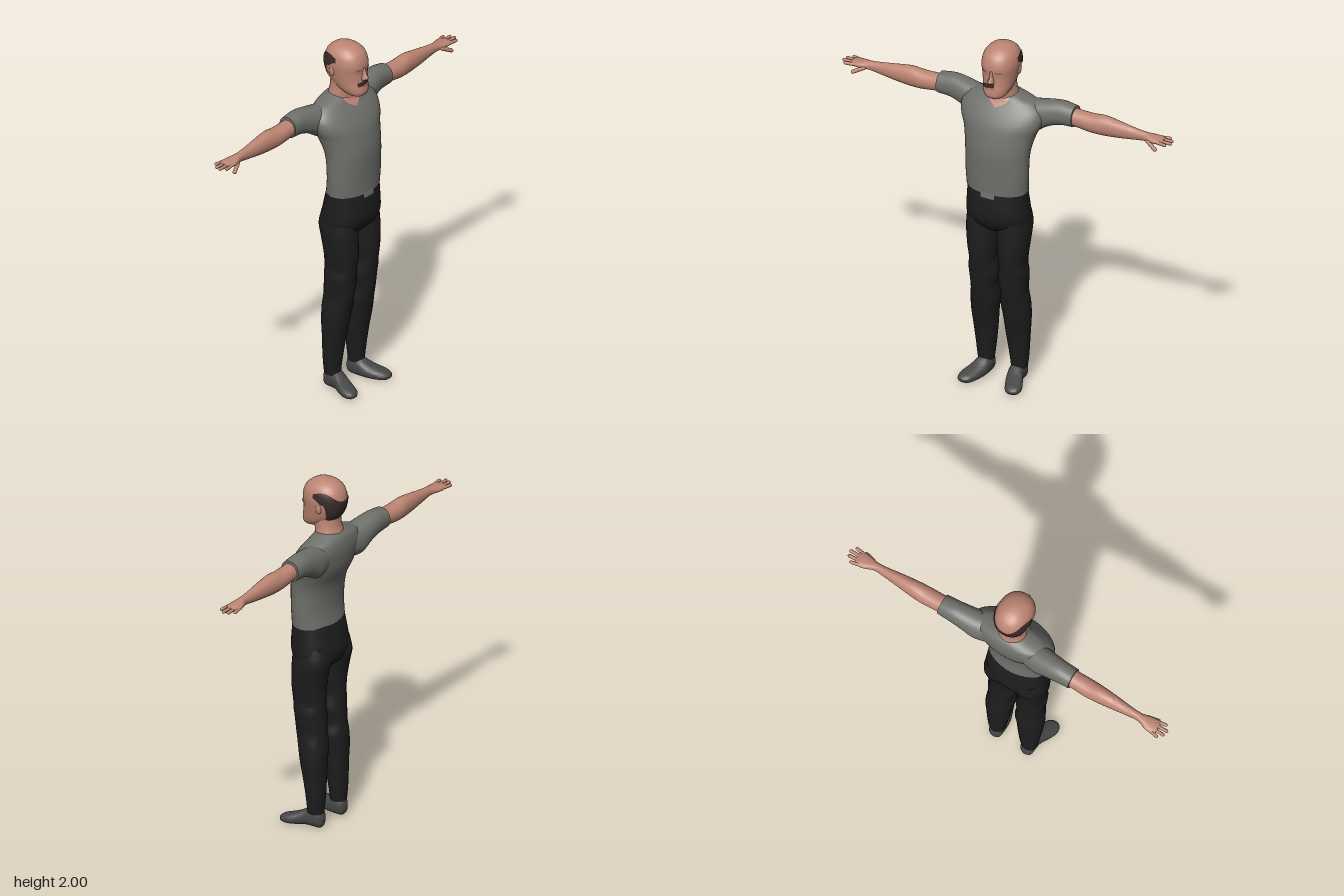
import * as THREE from 'three';
import { toCreasedNormals } from 'three/addons/utils/BufferGeometryUtils.js';

const paint = (name, color) => {
  const m = new THREE.MeshStandardMaterial({ color });
  m.name = name;
  return m;
};

// Smooth interpolation through keys [t, uMin, uMax, vMin, vMax]
function sample(keys, t) {
  const n = keys.length;
  let i = 0;
  while (i < n - 2 && t > keys[i + 1][0]) i++;
  const a = keys[i], b = keys[i + 1], h = b[0] - a[0];
  const s = Math.min(1, Math.max(0, (t - a[0]) / h));
  const slope = (j, k) => {
    const p = keys[Math.max(0, j - 1)], q = keys[Math.min(n - 1, j + 1)];
    return (q[k] - p[k]) / (q[0] - p[0]);
  };
  const s2 = s * s, s3 = s2 * s;
  return [1, 2, 3, 4].map((k) =>
    (2 * s3 - 3 * s2 + 1) * a[k] + (s3 - 2 * s2 + s) * h * slope(i, k) +
    (3 * s2 - 2 * s3) * b[k] + (s3 - s2) * h * slope(i + 1, k));
}

// Body surface around an axis (0 x, 1 y, 2 z): point at height t and angle
function surface(keys, axis, power = 2.2) {
  const bend = (c) => Math.sign(c) * Math.pow(Math.abs(c), 2 / power);
  return (t, angle, lift = 0) => {
    const [u0, u1, v0, v1] = sample(keys, t);
    const p = [0, 0, 0];
    p[axis] = t;
    p[(axis + 1) % 3] = (u0 + u1) / 2 + ((u1 - u0) / 2 + lift) * bend(Math.cos(angle));
    p[(axis + 2) % 3] = (v0 + v1) / 2 + ((v1 - v0) / 2 + lift) * bend(Math.sin(angle));
    return p;
  };
}

// Grid of points f(column, row); a closed grid wraps and gets end caps
function grid(f, cols, rows, closed) {
  const pos = [], index = [], w = closed ? cols : cols + 1;
  for (let r = 0; r <= rows; r++) for (let c = 0; c < w; c++) pos.push(...f(c / cols, r / rows));
  for (let r = 0; r < rows; r++) for (let c = 0; c < cols; c++) {
    const d = (c + 1) % w, a = r * w + c, b = r * w + d;
    index.push(a, b, a + w, b, b + w, a + w);
  }
  if (closed) for (const r of [0, rows]) {
    const mid = [0, 1, 2].map((k) => {
      let sum = 0;
      for (let c = 0; c < w; c++) sum += pos[(r * w + c) * 3 + k];
      return sum / w;
    });
    const m = pos.length / 3;
    pos.push(...mid);
    for (let c = 0; c < w; c++) {
      const a = r * w + c, b = r * w + (c + 1) % w;
      index.push(...(r ? [a, b, m] : [b, a, m]));
    }
  }
  const g = new THREE.BufferGeometry();
  g.setAttribute('position', new THREE.Float32BufferAttribute(pos, 3));
  g.setIndex(index);
  g.computeVertexNormals();
  return g;
}

function loft(keys, axis, power, cols = 32) {
  const f = surface(keys, axis, power), t0 = keys[0][0], t1 = keys[keys.length - 1][0];
  // rows packed evenly between keys
  const row = (v) => {
    const x = v * (keys.length - 1), i = Math.min(keys.length - 2, Math.floor(x));
    return v >= 1 ? t1 : v <= 0 ? t0 : keys[i][0] + (x - i) * (keys[i + 1][0] - keys[i][0]);
  };
  return toCreasedNormals(grid((u, v) => f(row(v), u * Math.PI * 2), cols, (keys.length - 1) * 4, true), 1);
}

// Thin painted patch lying on a surface
const patch = (f, a0, a1, lo, hi, cols = 24, rows = 6, lift = 0.003) => grid((u, v) => {
  const a = a0 + (a1 - a0) * u;
  return f(lo(a) + (hi(a) - lo(a)) * v, a, lift);
}, cols, rows, false);

function mirrored(geometry) {
  const g = geometry.index ? geometry.toNonIndexed() : geometry.clone();
  for (const key of ['position', 'normal']) {
    const at = g.attributes[key];
    for (let i = 0; i < at.count; i += 3) {
      const p = [0, 2, 1].map((k) => [-at.getX(i + k), at.getY(i + k), at.getZ(i + k)]);
      p.forEach((q, k) => at.setXYZ(i + k, ...q));
    }
  }
  return g;
}

// Capsule between two points, for the fingers
function digit(from, to, r) {
  const a = new THREE.Vector3(...from), b = new THREE.Vector3(...to), d = b.clone().sub(a);
  const g = new THREE.CapsuleGeometry(r, d.length(), 5, 10);
  g.applyQuaternion(new THREE.Quaternion().setFromUnitVectors(new THREE.Vector3(0, 1, 0), d.normalize()));
  return g.translate(...a.add(b).multiplyScalar(0.5).toArray());
}

export function createModel() {
  const group = new THREE.Group();
  group.name = 'standingMan';
  const skin = paint('skin', 0xbd8573), shade = paint('shadedSkin', 0x94644f);
  const shirt = paint('shirtGrey', 0x6f706b), trousers = paint('trouserBlack', 0x1d1d1d);
  const shoe = paint('shoeGrey', 0x474747), hair = paint('hairBrown', 0x382a28);
  const add = (name, geometry, material) => {
    const m = new THREE.Mesh(geometry, material);
    m.name = name;
    group.add(m);
  };
  const pair = (name, geometry, material) => {
    add(name + 'Left', geometry, material);
    add(name + 'Right', mirrored(geometry), material);
  };

  // Head and neck
  const headKeys = [
    [1.715, 0.03, 0.085, -0.03, 0.03], [1.73, -0.01, 0.104, -0.055, 0.055],
    [1.76, -0.07, 0.107, -0.073, 0.073], [1.8, -0.115, 0.1, -0.084, 0.084],
    [1.85, -0.138, 0.097, -0.093, 0.093], [1.9, -0.143, 0.1, -0.098, 0.098],
    [1.95, -0.128, 0.083, -0.088, 0.088], [1.98, -0.098, 0.05, -0.063, 0.063],
    [1.995, -0.063, 0.015, -0.032, 0.032], [2, -0.035, -0.015, -0.008, 0.008]];
  const head = surface(headKeys, 1);
  add('head', loft(headKeys, 1, 2.2, 40), skin);
  add('neck', loft([[1.62, -0.13, 0.03, -0.1, 0.1], [1.69, -0.125, 0.022, -0.083, 0.083],
    [1.74, -0.112, 0.03, -0.074, 0.074], [1.82, -0.11, 0.04, -0.07, 0.07]], 1, 2), skin);
  add('nose', loft([[1.812, 0.08, 0.108, -0.014, 0.014], [1.825, 0.075, 0.126, -0.018, 0.018],
    [1.85, 0.075, 0.117, -0.011, 0.011], [1.885, 0.075, 0.104, -0.009, 0.009]], 1, 2, 16), skin);
  pair('ear', new THREE.SphereGeometry(1, 16, 12).scale(0.01, 0.03, 0.017).translate(0.091, 1.855, -0.045), skin);
  pair('eye', patch(head, 0.24, 0.55, () => 1.872, () => 1.884, 6, 2), shade);
  add('mouth', patch(head, -0.25, 0.25, () => 1.778, () => 1.783, 8, 1), shade);
  add('moustache', patch(head, -0.52, 0.2, (a) => 1.79 + a * 0.012, (a) => 1.812 + a * 0.012, 12, 2, 0.006), hair);

  // Horseshoe of hair around the back of the head
  const step = THREE.MathUtils.smoothstep;
  const back = (a) => Math.abs(a - Math.PI);
  add('hair', patch(head, Math.PI - 1.62, Math.PI + 1.62,
    (a) => 1.788 + 0.095 * step(back(a), 0.85, 1.15) + 0.03 * step(back(a), 1.2, 1.62),
    (a) => 1.9 + 0.05 * step(back(a), 0.1, 1.1) - 0.012 * step(back(a), 1.3, 1.62), 48, 12, 0.004), hair);

  // Shirt body, neckline and sleeves
  const torsoKeys = [
    [1.165, -0.087, 0.133, -0.173, 0.173], [1.26, -0.077, 0.135, -0.178, 0.178],
    [1.4, -0.093, 0.137, -0.183, 0.183], [1.5, -0.135, 0.12, -0.205, 0.205],
    [1.56, -0.147, 0.1, -0.232, 0.232], [1.62, -0.152, 0.064, -0.235, 0.235],
    [1.67, -0.145, 0.026, -0.19, 0.19], [1.695, -0.132, 0.012, -0.12, 0.12],
    [1.71, -0.115, -0.005, -0.08, 0.08]];
  const torso = surface(torsoKeys, 1, 2.1);
  add('shirtBody', loft(torsoKeys, 1, 2.1, 48), shirt);
  add('neckline', patch(torso, -0.5, 0.5, (a) => 1.645 + 0.11 * Math.abs(a), () => 1.708, 16, 8, 0.004), skin);
  pair('sleeve', loft([[0.08, 1.52, 1.67, -0.13, 0], [0.18, 1.5, 1.68, -0.15, -0.005],
    [0.25, 1.54, 1.69, -0.152, -0.02], [0.32, 1.563, 1.697, -0.151, -0.033],
    [0.4, 1.57, 1.686, -0.147, -0.036]], 0), shirt);

  // Arms, hands and digits
  pair('arm', loft([[0.36, 1.577, 1.675, -0.138, -0.042], [0.42, 1.575, 1.67, -0.137, -0.043],
    [0.5, 1.565, 1.668, -0.139, -0.042], [0.57, 1.563, 1.675, -0.135, -0.047],
    [0.66, 1.571, 1.664, -0.125, -0.055], [0.75, 1.583, 1.65, -0.115, -0.065],
    [0.81, 1.592, 1.643, -0.113, -0.067], [0.86, 1.595, 1.634, -0.132, -0.055],
    [0.9, 1.599, 1.628, -0.136, -0.053], [0.92, 1.604, 1.622, -0.128, -0.06]], 0, 2.1, 24), skin);
  [[0.935, -0.127, -0.136], [0.96, -0.106, -0.11], [0.966, -0.084, -0.083], [0.945, -0.063, -0.056]]
    .forEach(([x, z0, z1], i) => pair('finger' + (i + 1), digit([0.89, 1.614, z0], [x, 1.614, z1], 0.009), skin));
  pair('thumb', digit([0.84, 1.606, -0.065], [0.893, 1.58, -0.045], 0.011), skin);

  // Trousers
  const hipKeys = [
    [0.91, -0.06, 0.06, -0.06, 0.06], [0.95, -0.1, 0.106, -0.155, 0.155],
    [1, -0.118, 0.134, -0.176, 0.176], [1.05, -0.115, 0.141, -0.175, 0.175],
    [1.12, -0.1, 0.136, -0.17, 0.17], [1.18, -0.083, 0.129, -0.167, 0.167]];
  add('hips', loft(hipKeys, 1, 2.2, 40), trousers);
  add('shirtTail', patch(surface(hipKeys, 1), -0.22, 0.18, () => 1.143, () => 1.175, 8, 2, 0.005), shirt);
  pair('trouserLeg', loft([[0.085, -0.078, 0.01, 0.055, 0.14], [0.12, -0.08, 0.01, 0.05, 0.146],
    [0.2, -0.085, 0.02, 0.04, 0.153], [0.3, -0.085, 0.035, 0.028, 0.162],
    [0.4, -0.09, 0.055, 0.02, 0.169], [0.48, -0.092, 0.07, 0.01, 0.166],
    [0.55, -0.085, 0.085, 0.02, 0.157], [0.63, -0.08, 0.093, 0.006, 0.164],
    [0.68, -0.078, 0.1, 0.012, 0.165], [0.72, -0.078, 0.105, 0.018, 0.158],
    [0.8, -0.08, 0.112, 0.01, 0.167], [0.9, -0.095, 0.109, 0.004, 0.178],
    [0.97, -0.11, 0.105, 0.001, 0.178], [1.05, -0.095, 0.1, 0.01, 0.165]], 1), trousers);

  // Shoes, toes turned slightly outward
  pair('shoe', loft([[-0.083, 0.08, 0.112, 0.025, 0.07], [-0.07, 0.062, 0.13, 0.006, 0.1],
    [-0.03, 0.056, 0.135, 0.002, 0.112], [0.01, 0.056, 0.142, 0.003, 0.1],
    [0.05, 0.064, 0.162, 0.001, 0.076], [0.1, 0.083, 0.181, 0, 0.057],
    [0.14, 0.104, 0.176, 0.004, 0.044], [0.155, 0.125, 0.16, 0.014, 0.033]], 2, 2.4), shoe);

  return group;
}
